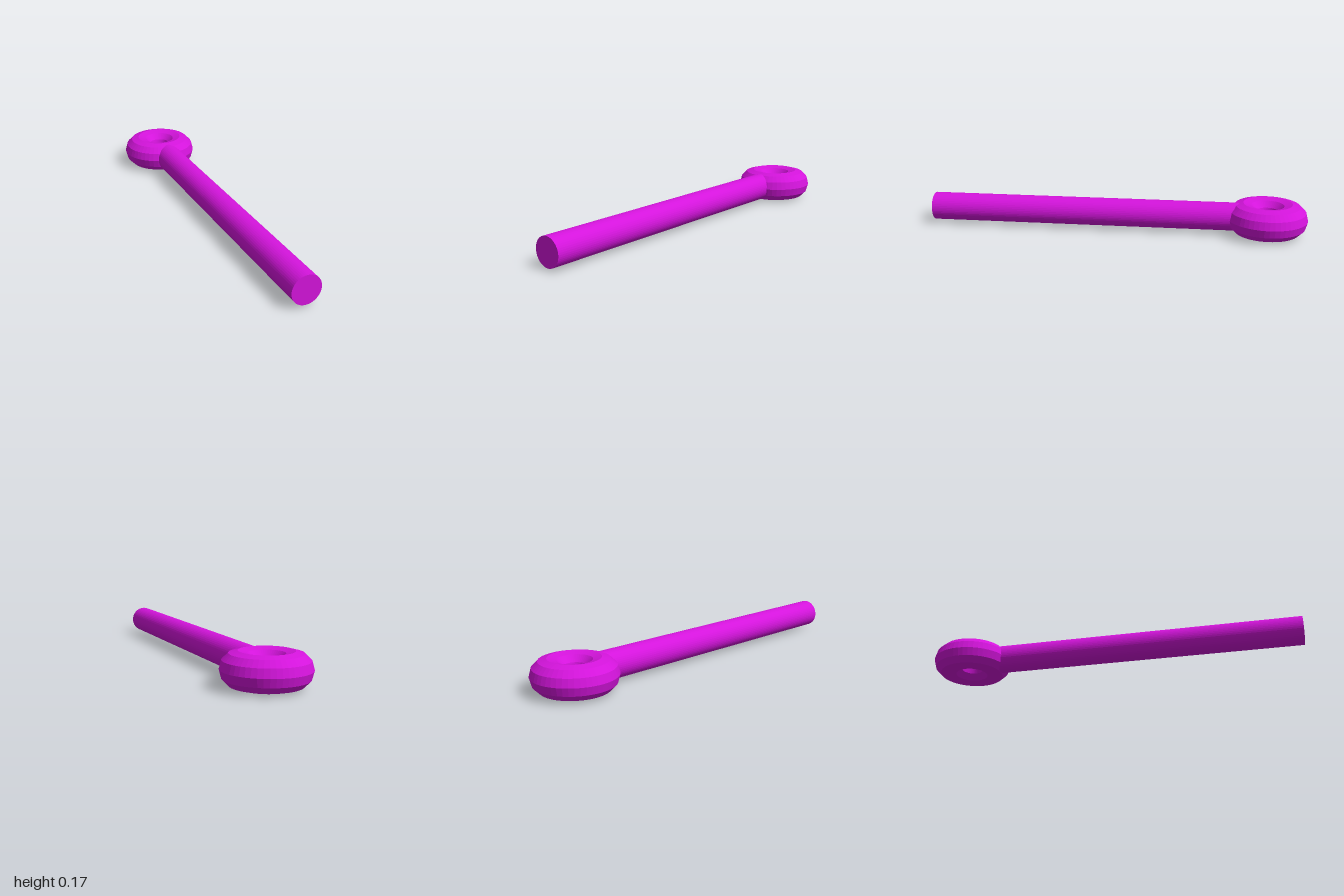
import * as THREE from 'three';

export function createModel() {
  const model = new THREE.Group();
  model.name = 'eyeBolt';
  const material = new THREE.MeshStandardMaterial({ color: 0xd414dc, flatShading: true });

  // Ring lying flat at the back end
  const eyeGeometry = new THREE.TorusGeometry(0.126, 0.0825, 12, 48);
  eyeGeometry.rotateX(Math.PI / 2);
  const eye = new THREE.Mesh(eyeGeometry, material);
  eye.name = 'eyeRing';
  eye.position.set(0, 0.0825, -0.7915);

  // Straight round shank, its back end buried in the ring
  const back = -0.67, front = 1;
  const shankGeometry = new THREE.CylinderGeometry(0.074, 0.074, front - back, 48);
  shankGeometry.rotateX(Math.PI / 2);
  const shank = new THREE.Mesh(shankGeometry, material);
  shank.name = 'shank';
  shank.position.set(0, 0.0855, (front + back) / 2);

  model.add(eye, shank);
  return model;
}
